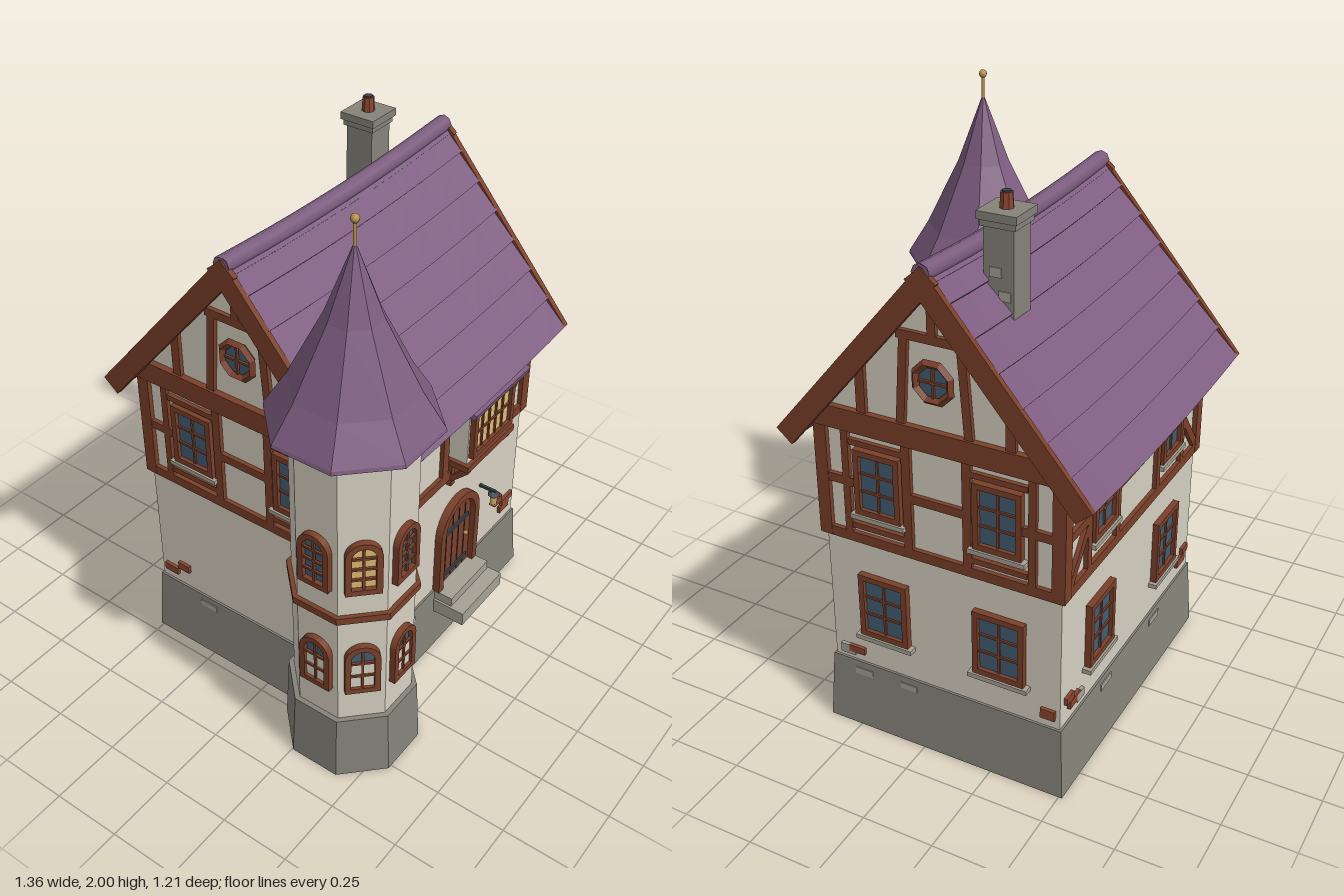
import * as THREE from 'three';

const mat = (name, color, side = THREE.FrontSide) => Object.assign(new THREE.MeshStandardMaterial({ color, side }), { name });
const M = {
  plaster: mat('plaster', 0xd6d0c1), timber: mat('timber', 0x7a402a), tiles: mat('roofTiles', 0x7d5d80),
  plinth: mat('plinthStone', 0x858379, THREE.DoubleSide), stone: mat('paleStone', 0xa5a294), glass: mat('glass', 0x435c70),
  lit: mat('litGlass', 0xdcb873), iron: mat('iron', 0x38434c), brass: mat('brass', 0xb8944a), brick: mat('brick', 0x8a4630),
};
const CX = 0.085, CZ = -0.07, HX = 0.525, HZ = 0.42;        // house centre and half sizes
const RIDGE = 1.73, SLOPE = Math.atan(1.18), RUN = 0.53, SLANT = RUN / Math.cos(SLOPE);

function add(parent, name, geo, m, x = 0, y = 0, z = 0) {
  const mesh = new THREE.Mesh(geo, m);
  mesh.name = name;
  mesh.position.set(x, y, z);
  parent.add(mesh);
  return mesh;
}
const box = (p, name, m, w, h, d, x, y, z) => add(p, name, new THREE.BoxGeometry(w, h, d), m, x, y, z);
function group(parent, name, x, y, z, ry = 0) {
  const g = new THREE.Group();
  g.name = name;
  g.position.set(x, y, z);
  g.rotation.y = ry;
  parent.add(g);
  return g;
}
function flat(geo) {
  const g = geo.index ? geo.toNonIndexed() : geo;
  g.computeVertexNormals();
  return g;
}
// Eight-sided solid from [apothem, y] pairs, flats facing the axes
function octagon(points) {
  const pts = points.map(([a, y]) => new THREE.Vector2(a / Math.cos(Math.PI / 8), y));
  return flat(new THREE.LatheGeometry(pts, 8).rotateY(Math.PI / 8));
}
// Timber lying on a wall between two points
function beam(wall, x1, y1, x2, y2, w, depth = 0.03) {
  const b = box(wall, 'timberBeam', M.timber, Math.hypot(x2 - x1, y2 - y1), w, depth, (x1 + x2) / 2, (y1 + y2) / 2, 0);
  b.rotation.z = Math.atan2(y2 - y1, x2 - x1);
}
function muntins(p, w, h, y, cols, rows, z) {
  for (let i = 1; i < cols; i++) box(p, 'muntin', M.timber, 0.008, h, 0.008, -w / 2 + i * w / cols, y, z);
  for (let i = 1; i < rows; i++) box(p, 'muntin', M.timber, w, 0.008, 0.008, 0, y - h / 2 + i * h / rows, z);
}
function squareWindow(wall, x, y, w, h, { pane = M.glass, cols = 2, rows = 3, sill = true, z = 0, t = 0.02 } = {}) {
  const g = group(wall, 'window', x, y, z);
  for (const s of [-1, 1]) {
    box(g, 'windowFrame', M.timber, t, h, 0.045, s * (w - t) / 2, 0, 0);
    box(g, 'windowFrame', M.timber, w, t, 0.045, 0, s * (h - t) / 2, 0);
  }
  box(g, 'pane', pane, w - t, h - t, 0.008, 0, 0, 0.005);
  muntins(g, w - 2 * t, h - 2 * t, 0, cols, rows, 0.011);
  if (sill) box(g, 'windowSill', M.stone, w + 0.03, 0.016, 0.06, 0, -h / 2 - 0.008, 0);
}
function arch(w, h) {
  const s = new THREE.Shape();
  s.moveTo(-w / 2, 0);
  s.lineTo(w / 2, 0);
  s.lineTo(w / 2, h - w / 2);
  s.absarc(0, h - w / 2, w / 2, 0, Math.PI);
  s.closePath();
  return s;
}
function archFrame(p, name, w, h, t, depth, paneMat, y0 = t) {
  const hole = arch(w - 2 * t, h - t - y0).getPoints(8).map(v => v.add(new THREE.Vector2(0, y0)));
  const s = arch(w, h);
  s.holes.push(new THREE.Path(hole));
  add(p, name + 'Frame', new THREE.ExtrudeGeometry(s, { depth, bevelEnabled: false, curveSegments: 8 }), M.timber);
  add(p, name + 'Panel', new THREE.ShapeGeometry(arch(w - t, h - t / 2), 8), paneMat, 0, 0, 0.006);
}
const patch = (wall, m, x, y, w = 0.06, h = 0.03) => box(wall, m === M.brick ? 'exposedBrick' : 'stoneBlock', m, w, h, 0.024, x, y, 0);

function gable(wall, lowerWindows, upperXs) {
  beam(wall, -0.43, 0.76, 0.43, 0.76, 0.035);
  beam(wall, -0.43, 1.18, 0.43, 1.18, 0.075, 0.045);
  for (const s of [-1, 1]) {
    beam(wall, s * 0.105, 0.77, s * 0.105, 1.15, 0.03);
    beam(wall, s * 0.325, 0.77, s * 0.325, 1.15, 0.025);
    beam(wall, s * 0.29, 0.96, s * 0.41, 0.96, 0.03);
    beam(wall, s * 0.255, 1.2, s * 0.255, 1.4, 0.032);
    beam(wall, s * 0.118, 1.2, s * 0.095, 1.51, 0.028);
    beam(wall, s * 0.12, 0.805, s * 0.31, 0.805, 0.02);
    beam(wall, s * 0.12, 1.105, s * 0.31, 1.105, 0.02);
  }
  beam(wall, -0.1, 0.96, 0.1, 0.96, 0.03);
  beam(wall, -0.12, 1.51, 0.12, 1.51, 0.028);
  beam(wall, 0, 1.5, 0, 1.66, 0.028);
  for (const x of upperXs) squareWindow(wall, x, 0.97, 0.165, 0.23);
  for (const x of lowerWindows) squareWindow(wall, x, 0.505, 0.18, 0.235);
  // Round attic window
  const r = group(wall, 'roundWindow', 0, 1.375, 0);
  add(r, 'roundFrame', flat(new THREE.TorusGeometry(0.063, 0.014, 4, 8)).rotateZ(Math.PI / 8), M.timber, 0, 0, 0.012);
  add(r, 'roundPane', new THREE.CircleGeometry(0.062, 8).rotateZ(Math.PI / 8), M.glass, 0, 0, 0.008);
  muntins(r, 0.11, 0.11, 0, 2, 2, 0.012);
}

function buildRoof(house) {
  const roof = group(house, 'mainRoof', CX, RIDGE, CZ);
  const sag = x => 0.02 * (x / 0.585) ** 2 - 0.008;
  const slab = (name, m, w, thick, len, along, lift, x, tilt, side) => {
    const g = new THREE.BoxGeometry(w, thick, len, w > 1 ? 10 : 1, 1, 1).rotateX(tilt);
    g.translate(x, -along * Math.sin(SLOPE) + lift * Math.cos(SLOPE), along * Math.cos(SLOPE) + lift * Math.sin(SLOPE));
    const p = g.attributes.position;
    for (let i = 0; i < p.count; i++) p.setY(i, p.getY(i) + sag(p.getX(i)));
    if (side < 0) g.rotateY(Math.PI);
    add(roof, name, flat(g), m);
  };
  const n = 7, step = SLANT / n;
  for (const side of [1, -1]) {
    slab('roofDeck', M.tiles, 1.14, 0.03, SLANT - 0.01, SLANT / 2, -0.035, 0, SLOPE, side);
    for (let i = 0; i < n; i++) slab('tileCourse', M.tiles, 1.15, 0.02, step + 0.012, (i + 0.5) * step, -0.008, 0, SLOPE - 0.1, side);
    for (const x of [-0.58, 0.58]) slab('bargeBoard', M.timber, 0.02, 0.07, SLANT + 0.01, SLANT / 2, -0.027, x, SLOPE, side);
  }
  const ridge = [-0.585, -0.3, 0, 0.3, 0.585].map(x => new THREE.Vector3(x, sag(x) - 0.012, 0));
  add(roof, 'ridgeCap', new THREE.TubeGeometry(new THREE.CatmullRomCurve3(ridge), 10, 0.03, 8), M.tiles);
  for (const s of [-1, 1]) add(roof, 'ridgeEnd', new THREE.CircleGeometry(0.03, 8).rotateY(s * Math.PI / 2), M.tiles, s * 0.585, sag(0.585) - 0.012, 0);
}

function buildTower(house) {
  const t = group(house, 'tower', -0.425, 0, 0.345);
  add(t, 'towerPlinth', octagon([[0, 0], [0.217, 0], [0.205, 0.25], [0, 0.255]]), M.plinth);
  add(t, 'towerWall', octagon([[0.188, 0.24], [0.188, 1.34]]), M.plaster);
  add(t, 'towerBand', octagon([[0.18, 0.692], [0.203, 0.692], [0.203, 0.718], [0.18, 0.718]]), M.timber);
  add(t, 'towerRoof', octagon([[0, 1.33], [0.255, 1.33], [0.252, 1.342], [0.187, 1.455], [0.082, 1.685], [0, 1.92]]), M.tiles);
  add(t, 'finialRod', new THREE.CylinderGeometry(0.006, 0.006, 0.1, 6), M.brass, 0, 1.935, 0);
  add(t, 'finialBall', new THREE.SphereGeometry(0.014, 8, 6), M.brass, 0, 1.986, 0);
  for (const k of [0, 1, 2]) {
    const face = group(t, 'towerFace', 0, 0, 0, -k * Math.PI / 4);
    for (const [y, upper] of [[0.382, false], [0.815, true]]) {
      const w = group(face, 'archedWindow', 0, y, 0.188);
      archFrame(w, 'window', 0.116, 0.205, 0.02, 0.022, upper && k === 1 ? M.lit : M.glass);
      if (!upper) box(w, 'curtain', M.plaster, 0.078, 0.1, 0.004, 0, 0.07, 0.009);
      muntins(w, 0.078, 0.165, 0.1, 2, upper ? 4 : 3, 0.013);
    }
  }
}

function buildFront(house) {
  const f = group(house, 'frontWall', 0, 0, CZ + HZ);
  beam(f, -0.4, 0.762, 0.6, 0.762, 0.035);
  beam(f, -0.4, 1.115, 0.6, 1.115, 0.04);
  for (const x of [-0.162, 0.08, 0.42]) beam(f, x, 0.77, x, 1.12, 0.034);
  beam(f, -0.26, 0.96, 0.1, 0.96, 0.032);
  beam(f, 0.4, 0.96, 0.58, 0.96, 0.032);
  beam(f, 0.41, 1.09, 0.58, 0.94, 0.03);
  beam(f, 0.41, 0.79, 0.58, 0.95, 0.03);
  beam(f, -0.28, 0.88, -0.175, 0.77, 0.03);
  beam(f, -0.28, 0.99, -0.18, 1.1, 0.03);
  // Bay window on brackets
  const bay = group(f, 'bayWindow', 0.25, 0, 0);
  box(bay, 'bayBody', M.plaster, 0.27, 0.24, 0.075, 0, 0.945, 0.0375);
  squareWindow(bay, 0, 0.953, 0.255, 0.185, { pane: M.lit, cols: 5, rows: 2, sill: false, z: 0.072 });
  box(bay, 'bayBase', M.timber, 0.3, 0.025, 0.09, 0, 0.825, 0.045);
  box(bay, 'bayHeader', M.timber, 0.3, 0.025, 0.085, 0, 1.06, 0.042);
  box(bay, 'bayRoof', M.tiles, 0.345, 0.022, 0.13, 0, 1.085, 0.055).rotation.x = 0.25;
  for (const s of [-1, 1]) {
    box(bay, 'bayBracket', M.timber, 0.022, 0.1, 0.02, s * 0.127, 0.765, 0.01);
    box(bay, 'bayBracket', M.timber, 0.02, 0.1, 0.02, s * 0.127, 0.77, 0.04).rotation.x = 0.8;
  }
  // Door, straps, handle and steps
  const door = group(f, 'door', 0.186, 0.25, 0);
  archFrame(door, 'door', 0.25, 0.372, 0.028, 0.028, M.timber, 0);
  for (const x of [-0.06, -0.02, 0.02, 0.06]) box(door, 'plankGap', M.iron, 0.003, 0.29, 0.003, x, 0.15, 0.007);
  for (const y of [0.04, 0.235]) box(door, 'doorStrap', M.iron, 0.17, 0.016, 0.006, -0.01, y, 0.011);
  add(door, 'doorHandle', new THREE.SphereGeometry(0.009, 8, 6), M.brass, 0.06, 0.155, 0.015);
  box(f, 'upperStep', M.stone, 0.245, 0.045, 0.13, 0.186, 0.23, 0.015);
  box(f, 'lowerStep', M.stone, 0.262, 0.055, 0.19, 0.186, 0.188, 0.04);
  // Lantern
  const l = group(f, 'lantern', 0.352, 0.515, 0.06);
  box(l, 'lanternArm', M.iron, 0.01, 0.01, 0.07, 0, 0.035, -0.028);
  add(l, 'lanternCap', new THREE.ConeGeometry(0.024, 0.018, 6), M.iron, 0, 0.03, 0);
  add(l, 'lanternGlow', new THREE.CylinderGeometry(0.017, 0.012, 0.042, 6), M.lit, 0, 0, 0);
  box(l, 'lanternBase', M.brass, 0.022, 0.007, 0.022, 0, -0.024, 0);
  patch(f, M.brick, 0.485, 0.387, 0.05);
  patch(f, M.brick, 0.55, 0.355, 0.075, 0.025);
  patch(f, M.brick, 0.532, 0.328, 0.062, 0.03);
  patch(f, M.stone, -0.105, 0.217, 0.08, 0.025);
}

function buildBack(house) {
  const b = group(house, 'backWall', CX, 0, CZ - HZ, Math.PI);
  for (const y of [0.762, 1.115]) beam(b, -0.52, y, 0.52, y, 0.036);
  for (const s of [-1, 1]) {
    const c = s * 0.265;
    squareWindow(b, c, 0.97, 0.165, 0.23);
    squareWindow(b, c, 0.505, 0.18, 0.235);
    for (const o of [-0.105, 0.105]) beam(b, c + o, 0.77, c + o, 1.12, 0.028);
    beam(b, s * 0.38, 0.97, s * 0.5, 1.09, 0.03);
    beam(b, s * 0.38, 0.93, s * 0.5, 0.78, 0.03);
    beam(b, s * 0.37, 0.955, s * 0.51, 0.955, 0.03);
    patch(b, M.brick, s * 0.44, 0.32, 0.07);
    patch(b, M.brick, s * 0.475, 0.35, 0.05, 0.025);
    patch(b, M.stone, s * 0.2, 0.22, 0.08, 0.025);
  }
  beam(b, -0.16, 0.955, 0.16, 0.955, 0.03);
  patch(b, M.stone, -0.4, 0.31, 0.05);
}

export function createModel() {
  const house = new THREE.Group();
  house.name = 'halfTimberedHouse';

  // Hollow battered plinth and gabled wall block
  const plinth = new THREE.BoxGeometry(2 * HX, 0.255, 2 * HZ);
  const p = plinth.attributes.position;
  for (let i = 0; i < p.count; i++) {
    const grow = p.getY(i) < 0 ? 0.022 : 0.007;
    p.setX(i, p.getX(i) + Math.sign(p.getX(i)) * grow);
    p.setZ(i, p.getZ(i) + Math.sign(p.getZ(i)) * grow);
  }
  const idx = Array.from(plinth.index.array);
  idx.splice(18, 6);
  plinth.setIndex(idx);
  add(house, 'plinth', flat(plinth), M.plinth, CX, 0.1275, CZ);
  const s = new THREE.Shape([[-HZ, 0.256], [HZ, 0.256], [HZ, 1.17], [0, 1.665], [-HZ, 1.17]].map(([x, y]) => new THREE.Vector2(x, y)));
  const walls = new THREE.ExtrudeGeometry(s, { depth: 2 * HX, bevelEnabled: false }).translate(0, 0, -HX).rotateY(Math.PI / 2);
  add(house, 'walls', walls, M.plaster, CX, 0, CZ);
  for (const sx of [-1, 1]) for (const sz of [-1, 1])
    box(house, 'cornerPost', M.timber, 0.045, 0.41, 0.045, CX + sx * (HX - 0.006), 0.95, CZ + sz * (HZ - 0.006));

  const right = group(house, 'rightGable', CX + HX, 0, CZ, Math.PI / 2);
  gable(right, [-0.21, 0.21], [-0.21, 0.21]);
  patch(right, M.brick, -0.33, 0.302, 0.06, 0.025);
  patch(right, M.stone, -0.365, 0.295, 0.055, 0.035);
  patch(right, M.brick, 0.38, 0.308, 0.05, 0.035);
  patch(right, M.stone, -0.305, 0.217, 0.07, 0.025);
  patch(right, M.stone, -0.13, 0.22, 0.06, 0.022);
  const left = group(house, 'leftGable', CX - HX, 0, CZ, -Math.PI / 2);
  gable(left, [], [-0.21, 0.21]);
  patch(left, M.brick, -0.37, 0.31, 0.06);
  patch(left, M.brick, -0.31, 0.345, 0.05);
  patch(left, M.stone, -0.2, 0.22, 0.07, 0.025);

  buildFront(house);
  buildBack(house);
  buildRoof(house);
  buildTower(house);

  // Chimney
  const c = group(house, 'chimney', 0.385, 0, -0.185);
  box(c, 'chimneyStack', M.plinth, 0.1, 0.4, 0.1, 0, 1.61, 0);
  box(c, 'chimneyCollar', M.plinth, 0.115, 0.02, 0.115, 0, 1.815, 0);
  box(c, 'chimneyCap', M.plinth, 0.13, 0.025, 0.13, 0, 1.838, 0);
  add(c, 'chimneyPot', flat(new THREE.CylinderGeometry(0.019, 0.022, 0.05, 8)), M.brick, 0, 1.873, 0);
  add(c, 'chimneyPotMouth', new THREE.CylinderGeometry(0.014, 0.014, 0.004, 8), M.iron, 0, 1.9, 0);
  box(c, 'stoneBlock', M.stone, 0.006, 0.03, 0.04, 0.05, 1.67, 0.01);
  box(c, 'stoneBlock', M.stone, 0.006, 0.03, 0.04, 0.05, 1.6, -0.02);
  return house;
}
